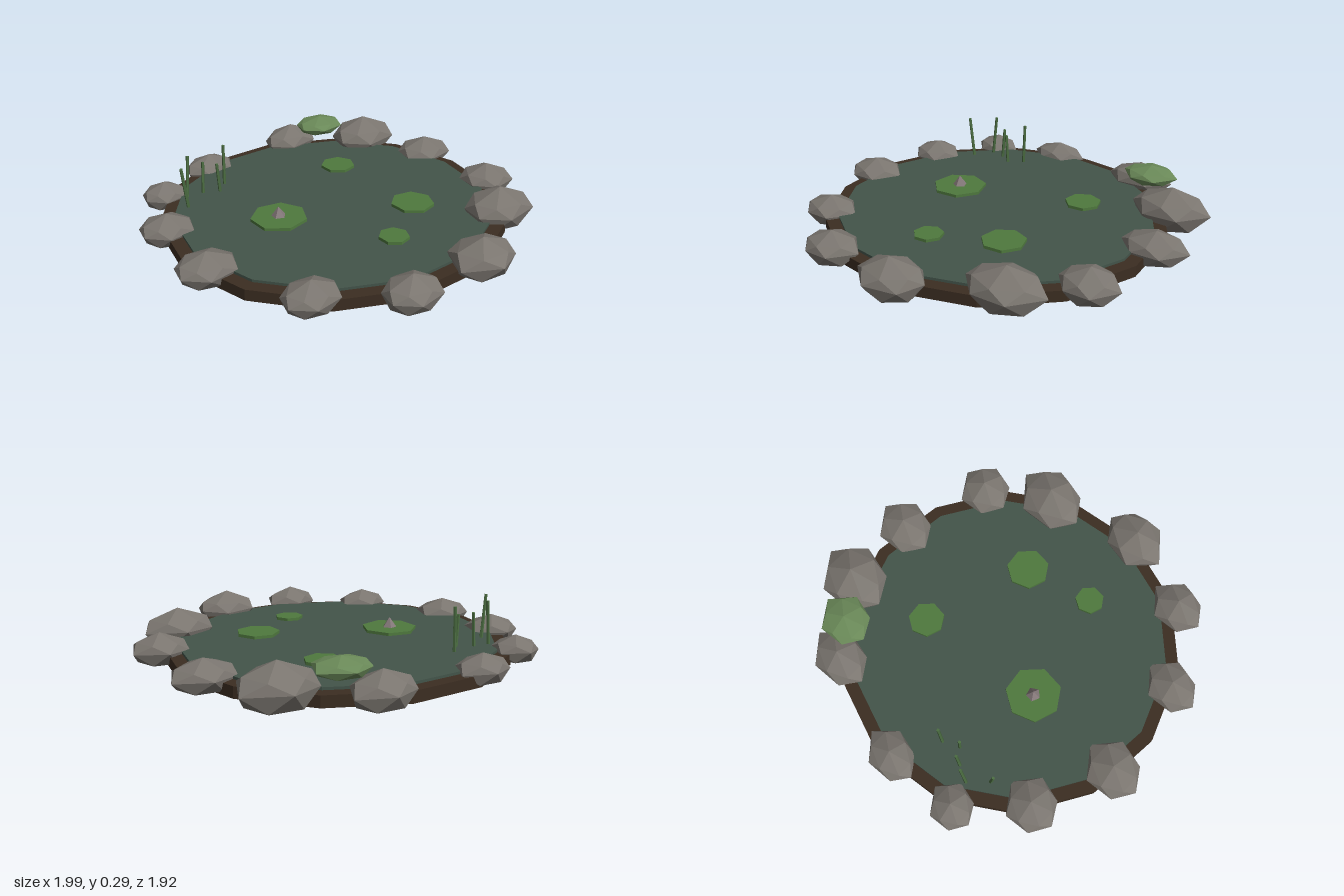
import * as THREE from 'three';

const mat = (name, color) => {
  const m = new THREE.MeshStandardMaterial({ color, flatShading: true });
  m.name = name;
  return m;
};

// Faceted boulder inside the unit box, y from 0 to 1, its tip towards +x
function boulderGeometry() {
  const outline = [[1, 0], [0.25, -1], [-0.65, -0.78], [-1, 0.05], [-0.5, 0.85], [0.4, 1]];
  const n = outline.length;
  const between = (y, s) => outline.map(([x, z], i) => {
    const [x2, z2] = outline[(i + 1) % n];
    return [(x + x2) / 2 * s, y, (z + z2) / 2 * s];
  });
  const mid = outline.map(([x, z], i) => [x, 0.4 + 0.05 * (i % 2), z]);
  const upper = between(0.68, 0.9);
  const lower = between(0, 0.86);
  const pos = [];
  const tri = (...p) => p.forEach((v) => pos.push(...v));
  for (let i = 0; i < n; i++) {
    const j = (i + 1) % n;
    tri([0, 1, 0], upper[i], upper[j]);
    tri(mid[i], mid[j], upper[i]);
    tri(upper[i], mid[j], upper[j]);
    tri(mid[i], lower[i], mid[j]);
    tri(mid[j], lower[i], lower[j]);
    tri([0, 0, 0], lower[j], lower[i]);
  }
  const g = new THREE.BufferGeometry();
  g.setAttribute('position', new THREE.Float32BufferAttribute(pos, 3));
  g.computeVertexNormals();
  return g;
}

export function createModel() {
  const pond = new THREE.Group();
  pond.name = 'pond';
  const soil = mat('soil', 0x3b2d21);
  const water = mat('water', 0x43544a);
  const stone = mat('stone', 0x7a756f);
  const leaf = mat('leaf', 0x4f793e);
  const moss = mat('moss', 0x6a8958);
  const reed = mat('reed', 0x4c6e42);
  const petal = mat('petal', 0x85797a);

  const add = (name, geo, material, x, y, z) => {
    const m = new THREE.Mesh(geo, material);
    m.name = name;
    m.position.set(x, y, z);
    pond.add(m);
    return m;
  };

  // Earth basin and water disc
  add('basin', new THREE.CylinderGeometry(0.86, 0.86, 0.055, 14), soil, -0.027, 0.0275, -0.043);
  add('water', new THREE.CylinderGeometry(0.795, 0.795, 0.03, 14), water, -0.027, 0.053, -0.043);

  // Ring of boulders: x range, z range, top height, flipped tip
  const boulder = boulderGeometry();
  const addBoulder = (name, material, x0, x1, z0, z1, base, top, flip) => {
    const m = add(name, boulder, material, (x0 + x1) / 2, base, (z0 + z1) / 2);
    m.scale.set((x1 - x0) / 2, top - base, (z1 - z0) / 2);
    if (flip) m.rotation.y = Math.PI;
  };
  [
    [0.655, 0.99, -0.185, 0.08, 0.145],
    [0.55, 0.955, -0.595, -0.28, 0.2],
    [0.285, 0.635, -0.87, -0.63, 0.165],
    [-0.245, 0.06, -0.965, -0.755, 0.135],
    [-0.595, -0.35, -0.9, -0.69, 0.13],
    [-0.855, -0.57, -0.63, -0.38, 0.14],
    [-1, -0.685, -0.23, 0.03, 0.142],
    [-0.88, -0.58, 0.285, 0.52, 0.137],
    [-0.6, -0.295, 0.6, 0.84, 0.15],
    [-0.22, 0.14, 0.68, 0.955, 0.175, true],
    [0.235, 0.635, 0.49, 0.79, 0.185],
    [0.565, 0.86, 0.28, 0.545, 0.15],
  ].forEach(([x0, x1, z0, z1, top, flip], i) =>
    addBoulder('boulder' + (i + 1), stone, x0, x1, z0, z1, 0.01, top, flip));

  // Mossy clump resting between two boulders
  addBoulder('mossClump', moss, 0.42, 0.71, -0.735, -0.5, 0.135, 0.215);

  // Lily pads: x, z, radius
  [
    [-0.32, -0.143, 0.14],
    [0.207, 0.281, 0.11],
    [0.333, -0.295, 0.092],
    [-0.132, 0.405, 0.074],
  ].forEach(([x, z, r], i) => {
    const pad = add('lilyPad' + (i + 1), new THREE.CylinderGeometry(r, r, 0.016, 7), leaf, x, 0.075, z);
    pad.rotation.y = Math.PI;
  });

  // Bud on the largest pad
  add('bud', new THREE.ConeGeometry(0.038, 0.052, 5), petal, -0.32, 0.107, -0.145);

  // Leaning reeds: foot x, tip x, z, tip height
  [
    [-0.507, -0.535, -0.58, 0.285],
    [-0.433, -0.41, -0.67, 0.285],
    [-0.352, -0.338, -0.64, 0.235],
    [-0.283, -0.295, -0.585, 0.225],
    [-0.207, -0.2, -0.63, 0.285],
  ].forEach(([x0, x1, z, top], i) => {
    const foot = 0.06;
    const length = Math.hypot(x1 - x0, top - foot);
    const stem = add('reed' + (i + 1), new THREE.CylinderGeometry(0.008, 0.009, length, 5), reed,
      (x0 + x1) / 2, (foot + top) / 2, z);
    stem.rotation.z = -Math.atan2(x1 - x0, top - foot);
  });

  return pond;
}
